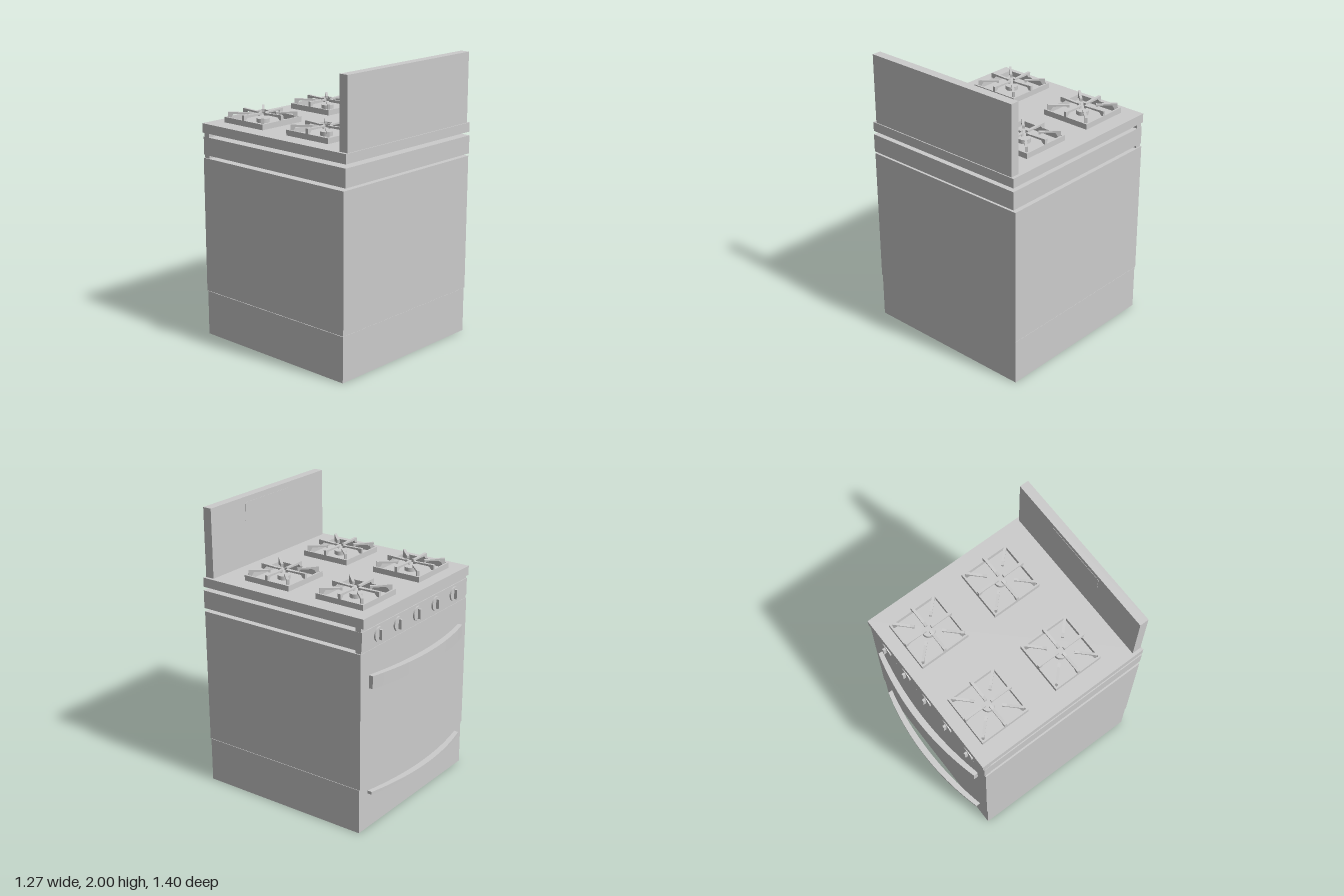
import * as THREE from 'three';

const material = new THREE.MeshStandardMaterial({ color: 0xcccccc });

function add(parent, name, geometry) {
  const mesh = new THREE.Mesh(geometry, material);
  mesh.name = name;
  parent.add(mesh);
  return mesh;
}

// Box given by its limits on each axis
function block(parent, name, [x0, x1], [y0, y1], [z0, z1]) {
  const mesh = add(parent, name, new THREE.BoxGeometry(x1 - x0, y1 - y0, z1 - z0));
  mesh.position.set((x0 + x1) / 2, (y0 + y1) / 2, (z0 + z1) / 2);
  return mesh;
}

// Bowed bar: plan outline between two shallow arcs, extruded upwards
function bowedHandle(parent, name, y0, y1) {
  const half = 0.543, steps = 24, outer = [], inner = [];
  for (let i = 0; i <= steps; i++) {
    const x = -half + (2 * half * i) / steps;
    const bow = 1 - (x / half) ** 2;
    outer.push(new THREE.Vector2(x, 0.627 + 0.073 * bow));
    inner.push(new THREE.Vector2(x, 0.594 + 0.061 * bow));
  }
  const shape = new THREE.Shape([...inner, ...outer.reverse()]);
  const geometry = new THREE.ExtrudeGeometry(shape, { depth: y1 - y0, bevelEnabled: false });
  geometry.rotateX(-Math.PI / 2); // shape y becomes -z, depth becomes y
  add(parent, name, geometry).position.y = y0;
}

// Grate finger: a foot, a thin raised bar and a small downturned tip
function fingerGeometry(rIn, rOut, base, width) {
  const shape = new THREE.Shape([
    [rOut, base], [rOut, 0.075], [rOut - 0.02, 0.075], [rIn + 0.03, 0.07], [rIn, 0.072],
    [rIn, 0.052], [rIn + 0.012, 0.052], [rIn + 0.02, 0.06], [rOut - 0.035, 0.06], [rOut - 0.012, base],
  ].map(([x, y]) => new THREE.Vector2(x, y)));
  const geometry = new THREE.ExtrudeGeometry(shape, { depth: width, bevelEnabled: false });
  return geometry.translate(0, 0, -width / 2);
}

function burner(x, z) {
  const group = new THREE.Group();
  group.name = 'burner';
  group.position.set(x, 1.513, z);

  // Square frame with an open middle
  const h = 0.185, t = 0.013;
  const outline = new THREE.Shape([[-h, -h], [h, -h], [h, h], [-h, h]].map(p => new THREE.Vector2(...p)));
  const i = h - t;
  outline.holes.push(new THREE.Path([[-i, -i], [-i, i], [i, i], [i, -i]].map(p => new THREE.Vector2(...p))));
  const frame = new THREE.ExtrudeGeometry(outline, { depth: 0.04, bevelEnabled: false });
  add(group, 'grateFrame', frame.rotateX(-Math.PI / 2));

  // Four straight and four diagonal fingers
  const straight = fingerGeometry(0.022, h, 0.035, 0.02);
  const diagonal = fingerGeometry(0.09, 0.235, 0.02, 0.018);
  for (let k = 0; k < 4; k++) {
    add(group, 'grateFinger', straight).rotation.y = (k * Math.PI) / 2;
    add(group, 'grateDiagonalFinger', diagonal).rotation.y = Math.PI / 4 + (k * Math.PI) / 2;
  }

  const cap = add(group, 'burnerCap', new THREE.CylinderGeometry(0.043, 0.043, 0.03, 24));
  cap.position.y = 0.015;
  return group;
}

function knob(x) {
  const group = new THREE.Group();
  group.name = 'knob';
  group.position.set(x, 1.36, -0.604);
  const disc = add(group, 'knobDisc', new THREE.CylinderGeometry(0.05, 0.05, 0.014, 28));
  disc.rotation.x = Math.PI / 2;
  block(group, 'knobGrip', [-0.008, 0.008], [-0.034, 0.034], [-0.028, 0]);
  return group;
}

export function createModel() {
  const stove = new THREE.Group();
  stove.name = 'stove';

  // Cabinet
  block(stove, 'drawerBase', [-0.633, 0.633], [0, 0.318], [-0.59, 0.685]);
  block(stove, 'drawerSeam', [-0.625, 0.625], [0.315, 0.325], [-0.58, 0.675]);
  block(stove, 'ovenBody', [-0.635, 0.635], [0.322, 1.278], [-0.597, 0.69]);

  // Slabs separated by open gaps, joined by a strip along the front
  block(stove, 'controlPanel', [-0.628, 0.628], [1.298, 1.424], [-0.6, 0.7]);
  block(stove, 'frontStrip', [-0.626, 0.626], [1.27, 1.46], [-0.594, -0.55]);
  block(stove, 'cooktop', [-0.627, 0.627], [1.45, 1.515], [-0.612, 0.7]);

  // Backsplash with a shallow display
  block(stove, 'backsplash', [-0.605, 0.605], [1.51, 2], [0.628, 0.693]);
  block(stove, 'display', [-0.2, 0.26], [1.83, 1.96], [0.626, 0.64]);

  // Handles and knobs
  bowedHandle(stove, 'ovenHandle', 1.02, 1.11);
  bowedHandle(stove, 'drawerHandle', 0.26, 0.281);
  for (const x of [-0.455, -0.225, 0, 0.225, 0.445]) stove.add(knob(x));

  for (const x of [-0.321, 0.321]) for (const z of [-0.337, 0.254]) stove.add(burner(x, z));

  return stove;
}
